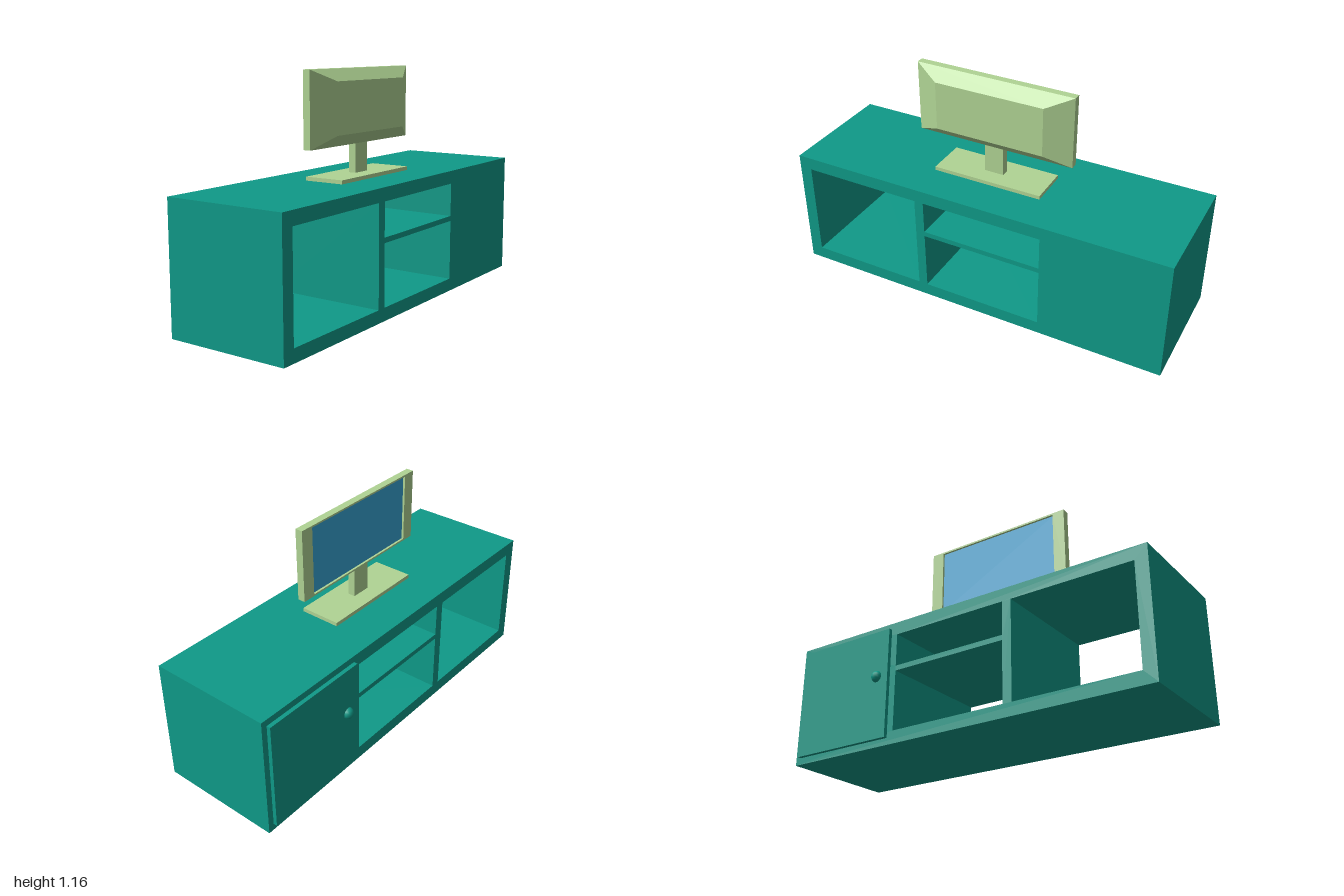
import * as THREE from 'three';

const teal = new THREE.MeshStandardMaterial({ color: 0x0f9a88 });
const green = new THREE.MeshStandardMaterial({ color: 0xb0d494 });
const blue = new THREE.MeshStandardMaterial({ color: 0x37a5d5 });

export function createModel() {
  const model = new THREE.Group();
  model.name = 'mediaCabinetWithTelevision';

  const add = (name, geometry, material, parent = model) => {
    const mesh = new THREE.Mesh(geometry, material);
    mesh.name = name;
    parent.add(mesh);
    return mesh;
  };

  // Box given by its extents along each axis
  const box = (name, [x0, x1], [y0, y1], [z0, z1], material, parent) =>
    add(name, new THREE.BoxGeometry(x1 - x0, y1 - y0, z1 - z0)
      .translate((x0 + x1) / 2, (y0 + y1) / 2, (z0 + z1) / 2), material, parent);

  // Rectangle in the z-y plane
  const rect = (path, [z0, z1], [y0, y1]) => {
    path.moveTo(z0, y0).lineTo(z1, y0).lineTo(z1, y1).lineTo(z0, y1).closePath();
    return path;
  };

  // Slab from x0 to x1 with rectangular openings running through along x
  const piercedSlab = (name, [x0, x1], ys, zs, openings, material, parent) => {
    const shape = rect(new THREE.Shape(), zs, ys);
    for (const [oz, oy] of openings) shape.holes.push(rect(new THREE.Path(), oz, oy));
    const geometry = new THREE.ExtrudeGeometry(shape, { depth: x1 - x0, bevelEnabled: false });
    return add(name, geometry.rotateY(-Math.PI / 2).translate(x1, 0, 0), material, parent);
  };

  // Cabinet with three open compartments
  const cabinet = new THREE.Group();
  cabinet.name = 'cabinet';
  model.add(cabinet);
  piercedSlab('cabinetBody', [-0.295, 0.335], [0, 0.633], [-1, 1], [
    [[0.31, 0.935], [0.065, 0.567]],
    [[-0.365, 0.262], [0.065, 0.372]],
    [[-0.365, 0.262], [0.398, 0.567]],
  ], teal, cabinet);
  box('door', [-0.315, -0.295], [0.035, 0.6], [-0.97, -0.4], teal, cabinet);
  add('doorKnob', new THREE.SphereGeometry(0.03, 12, 8), teal, cabinet)
    .position.set(-0.311, 0.357, -0.468);

  // Television on its stand
  const television = new THREE.Group();
  television.name = 'television';
  model.add(television);
  box('standBase', [-0.08, 0.13], [0.633, 0.652], [-0.265, 0.31], green, television);
  box('standNeck', [0.005, 0.043], [0.652, 0.8], [-0.026, 0.075], green, television);

  // Panel: backing plate, bezel and recessed screen
  const ys = [0.797, 1.163], zs = [-0.39, 0.437];
  const screenY = [0.806, 1.154], screenZ = [-0.322, 0.372];
  box('panelPlate', [0.018, 0.043], ys, zs, green, television);
  piercedSlab('bezel', [0.005, 0.018], ys, zs, [[screenZ, screenY]], green, television);
  box('screen', [0.016, 0.02], screenY, screenZ, blue, television);

  // Rear housing: a box whose outer face is drawn in
  const housing = new THREE.BoxGeometry(0.061, 0.366, 0.827);
  const p = housing.attributes.position;
  for (let i = 0; i < p.count; i++) {
    if (p.getX(i) > 0) {
      p.setY(i, p.getY(i) > 0 ? 0.127 : -0.123);
      p.setZ(i, p.getZ(i) > 0 ? 0.283 : -0.284);
    }
  }
  housing.computeVertexNormals();
  add('rearHousing', housing, green, television).position.set(0.0735, 0.98, 0.0235);

  return model;
}
